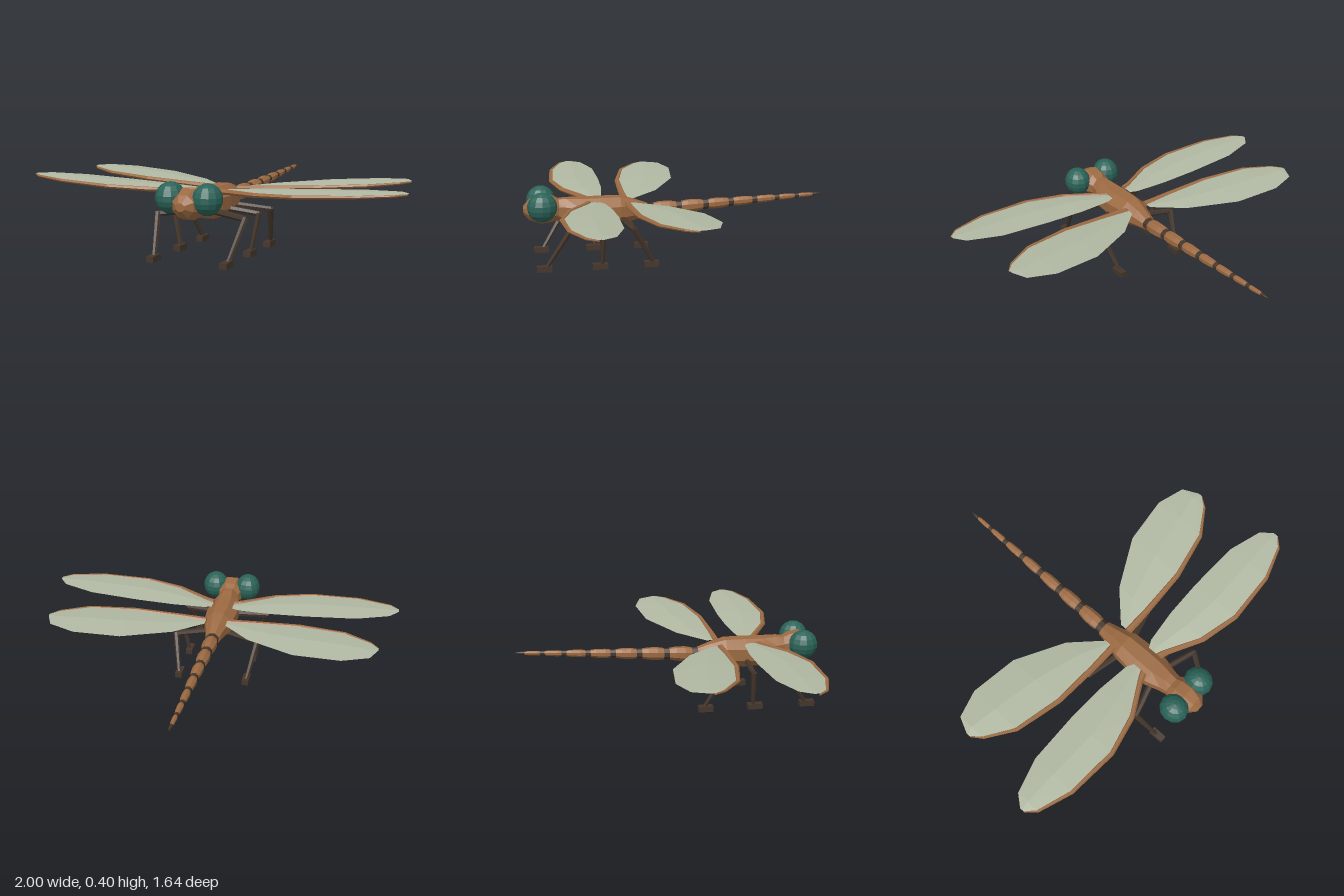
import * as THREE from 'three';

const mat = (color, extra = {}) => new THREE.MeshStandardMaterial({ color, flatShading: true, ...extra });
const BROWN = mat(0x9c6a42), DARK = mat(0x45362b), EYE = mat(0x2a6358);
const WING = mat(0xb0b8a2, { side: THREE.DoubleSide });

function add(parent, name, geometry, material) {
  const m = new THREE.Mesh(geometry, material);
  m.name = name;
  parent.add(m);
  return m;
}

// Skin a list of equal-length closed rings and cap both ends.
function loft(rings) {
  const n = rings[0].length, pos = rings.flat(2), idx = [];
  const centre = r => [0, 1, 2].map(k => r.reduce((s, p) => s + p[k], 0) / n);
  const last = (rings.length - 1) * n, c0 = rings.length * n;
  pos.push(...centre(rings[0]), ...centre(rings[rings.length - 1]));
  for (let j = 0; j < n; j++) {
    const k = (j + 1) % n;
    for (let i = 0; i < last; i += n) idx.push(i + j, i + n + j, i + k, i + k, i + n + j, i + n + k);
    idx.push(c0, j, k, c0 + 1, last + k, last + j);
  }
  const g = new THREE.BufferGeometry();
  g.setAttribute('position', new THREE.Float32BufferAttribute(pos, 3));
  g.setIndex(idx);
  g.computeVertexNormals();
  return g;
}

const angles = (n, start = 0) => Array.from({ length: n }, (_, i) => start + i * Math.PI * 2 / n);
// Body cross-section: [z, centre y, half width, half height]
const bodyRing = ([z, y, rx, ry], n) =>
  angles(n, Math.PI / n).map(a => [rx * Math.cos(a), y + ry * Math.sin(a), z]);
const body = (stations, n = 8) => loft(stations.map(s => bodyRing(s, n)));

// Tapered rod between two points
function rod(parent, name, a, b, ra, rb) {
  const A = new THREE.Vector3(...a), B = new THREE.Vector3(...b), d = B.clone().sub(A);
  const m = add(parent, name, new THREE.CylinderGeometry(rb, ra, d.length(), 6), DARK);
  m.position.copy(A).add(B).multiplyScalar(0.5);
  m.quaternion.setFromUnitVectors(new THREE.Vector3(0, 1, 0), d.normalize());
}

// Wing stations: [x, trailing z, leading z]; height rises along the span
function wing(parent, name, stations, y0, rise) {
  const g = new THREE.Group();
  g.name = name;
  parent.add(g);
  const pos = [], idx = [];
  stations.forEach(([x, t, l], i) => {
    const y = y0 + rise * x;
    pos.push(x, y, t, x, y + 0.04 * (l - t), (t + l) / 2, x, y, l);
    if (i) for (let k = 0; k < 2; k++) {
      const a = (i - 1) * 3 + k, b = i * 3 + k;
      idx.push(a, a + 1, b, b, a + 1, b + 1);
    }
  });
  const membrane = new THREE.BufferGeometry();
  membrane.setAttribute('position', new THREE.Float32BufferAttribute(pos, 3));
  membrane.setIndex(idx);
  membrane.computeVertexNormals();
  add(g, 'membrane', membrane, WING);
  // Stiff spar along the leading edge, thinning to the tip
  const spar = stations.map(([x, , l], i) => {
    const r = 0.021 * (1 - 0.72 * i / (stations.length - 1));
    return angles(6).map(a => [x, y0 + rise * x - 0.004 + 0.75 * r * Math.sin(a), l + r * Math.cos(a)]);
  });
  add(g, 'leadingSpar', loft(spar), BROWN);
}

export function createModel() {
  const model = new THREE.Group();
  model.name = 'dragonfly';

  // Thorax and head
  add(model, 'thorax', body([
    [0.66, 0.285, 0.055, 0.058], [0.6, 0.275, 0.065, 0.075], [0.52, 0.265, 0.09, 0.082],
    [0.42, 0.264, 0.094, 0.085], [0.31, 0.27, 0.085, 0.078], [0.23, 0.268, 0.058, 0.058],
    [0.16, 0.262, 0.042, 0.038]]), BROWN);
  add(model, 'head', body([
    [0.822, 0.288, 0.024, 0.022], [0.79, 0.288, 0.06, 0.058], [0.73, 0.292, 0.08, 0.082],
    [0.67, 0.29, 0.075, 0.072], [0.62, 0.285, 0.05, 0.05]]), BROWN);

  // Abdomen: brown barrels with dark rings between them
  const bands = [0.16, 0.005, -0.145, -0.287, -0.422, -0.55, -0.665, -0.77];
  const cy = z => 0.262 + (0.16 - z) * 0.054;
  const rad = z => 0.0075 + 0.031 * (z + 0.82) / 0.98;
  const st = (z, k) => [z, cy(z), rad(z) * k, rad(z) * k];
  bands.forEach((z, i) => {
    const start = z - 0.032 + i * 0.001, end = bands[i + 1];
    add(model, 'abdomenRing', body([st(z, 0.93), st(start, 0.93)]), DARK);
    if (end === undefined) return;
    const mid = (start + end) / 2;
    add(model, 'abdomenSegment', body([st(start, 0.95), st(mid + 0.025, 1.12),
      st(mid - 0.025, 1.12), st(end, 0.95)]), BROWN);
  });
  add(model, 'tailTip', body([[-0.79, cy(-0.79), 0.008, 0.008], [-0.82, cy(-0.82), 0.002, 0.002]]), DARK);

  // Paired parts, built on +x and mirrored
  for (const s of [1, -1]) {
    const side = new THREE.Group();
    side.name = s > 0 ? 'leftSide' : 'rightSide';
    side.scale.x = s;
    model.add(side);

    const eye = add(side, 'eye', new THREE.SphereGeometry(1, 12, 9), EYE);
    eye.scale.set(0.073, 0.078, 0.078);
    eye.position.set(0.097, 0.318, 0.726);

    wing(side, 'foreWing', [[0.06, 0.42, 0.485], [0.1, 0.4, 0.5], [0.28, 0.38, 0.598], [0.49, 0.375, 0.648],
      [0.77, 0.385, 0.632], [0.95, 0.44, 0.572], [0.998, 0.5, 0.525]], 0.322, 0.046);
    wing(side, 'hindWing', [[0.06, 0.225, 0.275], [0.21, 0.08, 0.275], [0.47, -0.055, 0.266],
      [0.725, -0.085, 0.212], [0.87, -0.04, 0.118], [0.91, 0.045, 0.065]], 0.312, 0.058);

    // Legs: [name, hip z, knee z, foot z]
    for (const [name, hip, knee, foot] of [['frontLeg', 0.54, 0.595, 0.728],
      ['middleLeg', 0.42, 0.42, 0.44], ['hindLeg', 0.31, 0.265, 0.17]]) {
      const leg = new THREE.Group();
      leg.name = name;
      side.add(leg);
      rod(leg, 'upperLeg', [0.05, 0.232, hip], [0.238, 0.212, knee], 0.018, 0.014);
      rod(leg, 'lowerLeg', [0.235, 0.218, knee], [0.195, 0.02, foot - 0.01], 0.016, 0.011);
      add(leg, 'foot', new THREE.BoxGeometry(0.038, 0.03, 0.08), DARK).position.set(0.193, 0.015, foot);
    }
  }
  return model;
}
